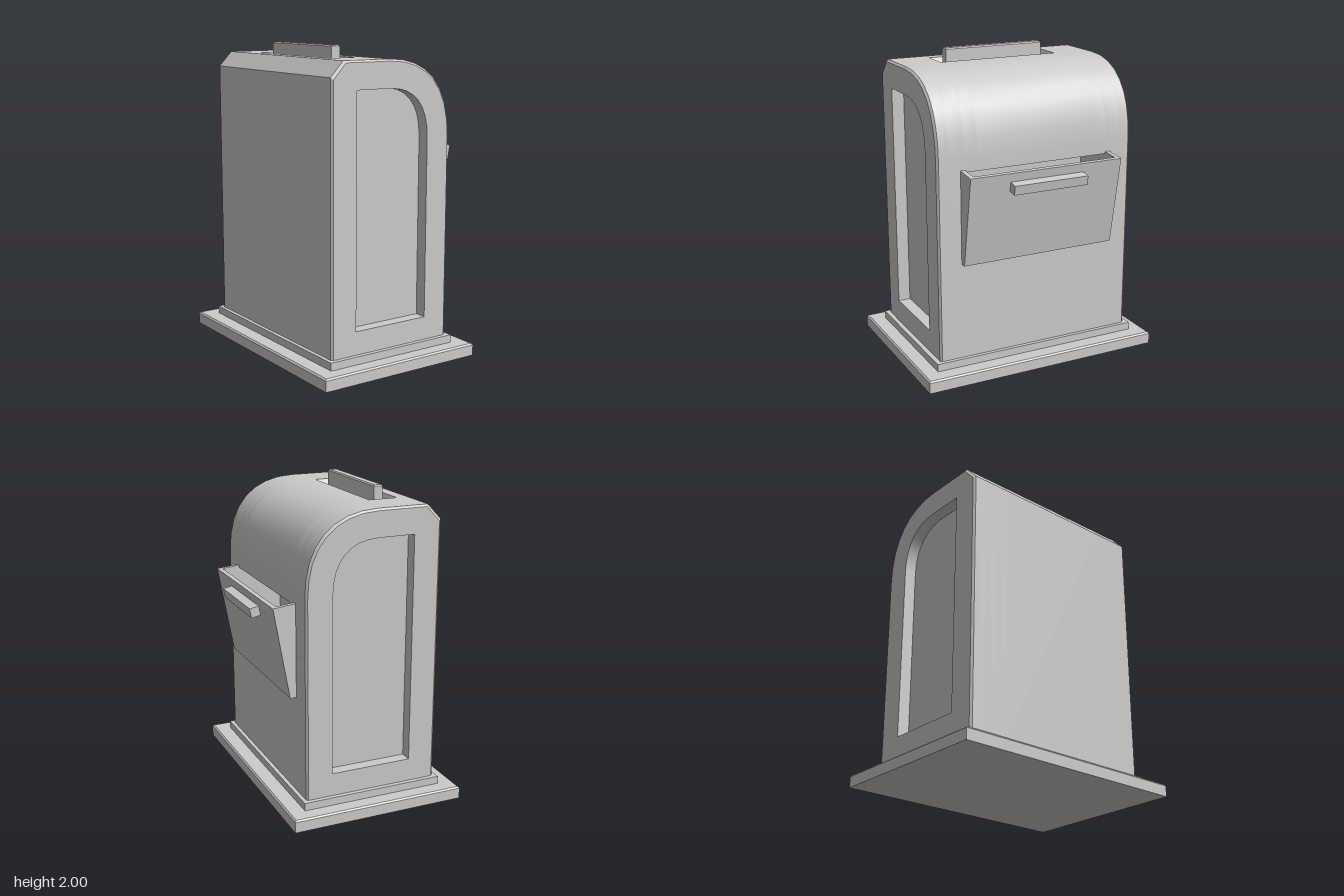
import * as THREE from 'three';
import { toCreasedNormals } from 'three/addons/utils/BufferGeometryUtils.js';

const material = new THREE.MeshStandardMaterial({ color: 0xcccccc });

function mesh(name, geometry) {
  const m = new THREE.Mesh(geometry, material);
  m.name = name;
  return m;
}

// Moves every vertex by a rule, then renews the normals with sharp creases
function reshape(geometry, rule) {
  const p = geometry.attributes.position;
  const v = new THREE.Vector3();
  for (let i = 0; i < p.count; i++) {
    rule(v.fromBufferAttribute(p, i));
    p.setXYZ(i, v.x, v.y, v.z);
  }
  return toCreasedNormals(geometry, 0.4);
}

// Extrudes a shape between two z positions
function prism(shape, z0, z1, steps = 1) {
  const g = new THREE.ExtrudeGeometry(shape, { depth: z1 - z0, steps, bevelEnabled: false, curveSegments: 8 });
  return toCreasedNormals(g.translate(0, 0, z0), 0.4);
}

// Box standing on y = 0 with chamfered top edges
function slab(w, h, d, c) {
  return reshape(new THREE.BoxGeometry(w, h, d, 1, 2, 1).translate(0, h / 2, 0), (v) => {
    if (v.y > h * 0.9) {
      v.x -= Math.sign(v.x) * c;
      v.z -= Math.sign(v.z) * c;
    } else if (v.y > h * 0.1) v.y = h - c;
  });
}

const polygon = (points) => new THREE.Shape(points.map(([x, y]) => new THREE.Vector2(x, y)));

// Body cross-section, optionally cut by the side pocket and the top slot
function bodyProfile(pocket, slot) {
  const s = new THREE.Shape();
  s.moveTo(-0.48, 0.13);
  s.lineTo(0.41, 0.13);
  if (pocket) {
    s.lineTo(0.41, 0.79);
    s.lineTo(0.11, 0.79);
    s.lineTo(0.11, 1.345);
    s.lineTo(0.41, 1.345);
  }
  s.lineTo(0.41, 1.43);
  s.bezierCurveTo(0.41, 1.75, 0.24, 1.925, -0.06, 1.925);
  if (slot) {
    s.lineTo(-0.125, 1.925);
    s.lineTo(-0.16, 1.865);
    s.lineTo(-0.285, 1.865);
    s.lineTo(-0.315, 1.925);
  }
  s.lineTo(-0.39, 1.925);
  s.lineTo(-0.48, 1.83);
  s.closePath();
  return s;
}

// Outline of the sunken end panel
function panelOutline() {
  const p = new THREE.Path();
  p.moveTo(-0.3, 0.28);
  p.lineTo(0.235, 0.28);
  p.lineTo(0.235, 1.43);
  p.bezierCurveTo(0.235, 1.64, 0.13, 1.75, -0.06, 1.75);
  p.lineTo(-0.3, 1.75);
  p.closePath();
  return p;
}

// End frame around the panel, with a chamfered outer edge
function endFrame() {
  const shape = bodyProfile(false, false);
  shape.holes.push(panelOutline());
  const z0 = 0.585, z1 = 0.68, c = 0.013;
  return reshape(prism(shape, z0, z1, 2), (v) => {
    const onPanel = v.x > -0.301 && v.x < 0.236 && v.y > 0.279 && v.y < 1.751;
    if (v.z > z1 - 0.001) {
      if (!onPanel) {
        v.x = -0.035 + (v.x + 0.035) * (1 - c / 0.445);
        v.y = 0.13 + (v.y - 0.13) * (1 - c / 1.795);
      }
    } else if (v.z > z0 + 0.001) v.z = z1 - c;
  });
}

export function createModel() {
  const model = new THREE.Group();
  model.name = 'dropBox';

  // Stepped base
  const base = mesh('base', slab(1.15, 0.08, 1.62, 0.01));
  base.position.x = -0.035;
  const plinth = mesh('plinth', new THREE.BoxGeometry(0.94, 0.05, 1.42));
  plinth.position.set(-0.035, 0.105, 0);
  model.add(base, plinth);

  // Body middle, with the pocket and the slot
  model.add(mesh('bodyMiddle', prism(bodyProfile(true, true), -0.41, 0.41)));

  // Parts repeated at the front and the back
  for (const side of [1, -1]) {
    const end = new THREE.Group();
    end.name = side > 0 ? 'frontEnd' : 'backEnd';
    end.add(mesh('pocketSection', prism(bodyProfile(true, false), 0.41, 0.495)));
    end.add(mesh('endSection', prism(bodyProfile(false, false), 0.495, 0.6)));
    end.add(mesh('panelFrame', endFrame()));

    // Sloping end of the top slot
    const ramp = new THREE.BoxGeometry(0.19, 0.06, 0.03).translate(-0.22, 1.895, 0.395);
    end.add(mesh('slotEnd', reshape(ramp, (v) => { if (v.y > 1.9) v.z = 0.41; })));

    // Hopper cheek
    const cheek = polygon([[0.41, 0.76], [0.45, 0.76], [0.555, 1.345], [0.41, 1.36]]);
    end.add(mesh('hopperCheek', prism(cheek, 0.495, 0.525)));
    end.scale.z = side;
    model.add(end);
  }

  // Sloping hopper front and floor
  const hopper = polygon([[0.41, 0.76], [0.45, 0.76], [0.555, 1.345], [0.525, 1.348], [0.424, 0.79], [0.41, 0.79]]);
  model.add(mesh('hopperFront', prism(hopper, -0.495, 0.495)));

  // Hopper grip
  const grip = mesh('hopperGrip', new THREE.BoxGeometry(0.065, 0.062, 0.51));
  grip.position.set(0.567, 1.253, 0);
  grip.rotation.z = -0.18;
  model.add(grip);

  // Handle bar standing in the top slot
  const handle = mesh('topHandle', slab(0.06, 0.14, 0.69, 0.008));
  handle.position.set(-0.221, 1.86, 0);
  model.add(handle);

  return model;
}
